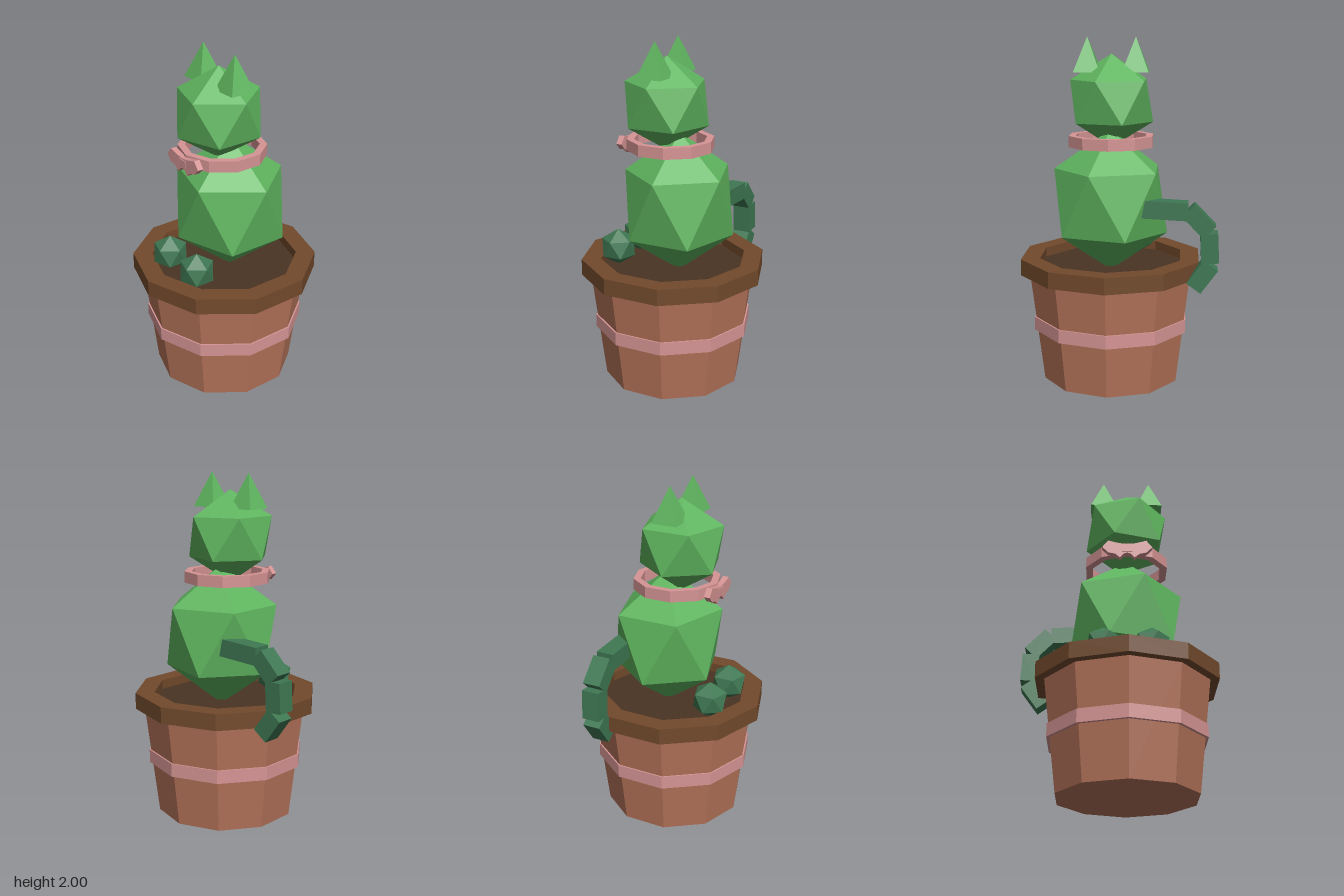
import * as THREE from 'three';

const mat = (name, color) => {
  const m = new THREE.MeshStandardMaterial({ color, flatShading: true });
  m.name = name;
  return m;
};

export function createModel() {
  const green = mat('cactus green', 0x5fb55f);
  const darkGreen = mat('dark green', 0x3f7853);
  const clay = mat('terracotta', 0xb6745a);
  const brown = mat('rim brown', 0x724a2c);
  const soilBrown = mat('soil brown', 0x4a3424);
  const pink = mat('pink', 0xd69494);

  const CX = 0.057, SIDES = 10;
  const model = new THREE.Group();
  model.name = 'pottedCactus';

  const add = (name, geometry, material, x, y, z) => {
    const mesh = new THREE.Mesh(geometry, material);
    mesh.name = name;
    mesh.position.set(x, y, z);
    model.add(mesh);
    return mesh;
  };

  // Icosahedron standing on one vertex
  const ball = (rx, ry, rz) => new THREE.IcosahedronGeometry(1, 0)
    .rotateZ(-Math.atan(2 / (1 + Math.sqrt(5))))
    .scale(rx, ry, rz);

  // Square-section ring with few sides
  const ring = (inner, outer, height) => new THREE.LatheGeometry([
    [inner, 0], [outer, 0], [outer, height], [inner, height], [inner, 0],
  ].map(([r, y]) => new THREE.Vector2(r, y)), SIDES);

  // Pot, rim, soil and painted band
  add('pot', new THREE.CylinderGeometry(0.486, 0.407, 0.645, SIDES), clay, CX, 0.3225, 0);
  add('rim', ring(0.427, 0.539, 0.095), brown, CX, 0.64, 0);
  add('soil', new THREE.CylinderGeometry(0.43, 0.43, 0.03, SIDES), soilBrown, CX, 0.665, 0);
  add('potBand', new THREE.CylinderGeometry(0.463, 0.463, 0.077, SIDES), pink, CX, 0.344, 0);

  // Body and head
  add('body', ball(0.366, 0.414, 0.349), green, CX, 1.065, -0.04);
  add('head', ball(0.268, 0.268, 0.268), green, CX, 1.635, 0.04);

  for (const s of [-1, 1]) {
    // Pointed ears
    const ear = new THREE.ConeGeometry(0.108, 0.2, 4).rotateY(Math.PI / 4);
    add('ear', ear, green, CX + s * 0.139, 1.9, 0.04);
    // Feet
    add('foot', ball(0.109, 0.109, 0.109), darkGreen, CX + s * 0.132, 0.78, 0.295);
  }

  // Collar and bow
  add('collar', ring(0.21, 0.252, 0.065), pink, CX, 1.376, 0.015);
  const half = [[0, 0.025], [0.047, 0.03], [0.11, 0.047], [0.145, 0.004],
    [0.11, -0.032], [0.07, -0.04], [0.042, -0.065], [0.022, -0.04], [0, -0.032]];
  const outline = [...half, ...half.slice(1, -1).reverse().map(([x, y]) => [-x, y])];
  const bowShape = new THREE.Shape(outline.map(([x, y]) => new THREE.Vector2(x, y)));
  const bow = new THREE.ExtrudeGeometry(bowShape, { depth: 0.035, bevelEnabled: false });
  add('bow', bow, pink, CX, 1.4, 0.253);
  add('bowKnot', new THREE.BoxGeometry(0.06, 0.045, 0.045), pink, CX, 1.397, 0.271);

  // Curled tail: centre x, y, length, angle of each block
  [[-0.245, 1.05, 0.29, 0.05], [-0.452, 0.99, 0.17, 0.8],
    [-0.513, 0.836, 0.17, 1.52], [-0.473, 0.672, 0.165, 2.2],
  ].forEach(([x, y, length, angle]) => {
    const block = new THREE.BoxGeometry(length, 0.1, 0.105);
    add('tailSegment', block, darkGreen, x, y, -0.207).rotation.z = angle;
  });

  return model;
}
